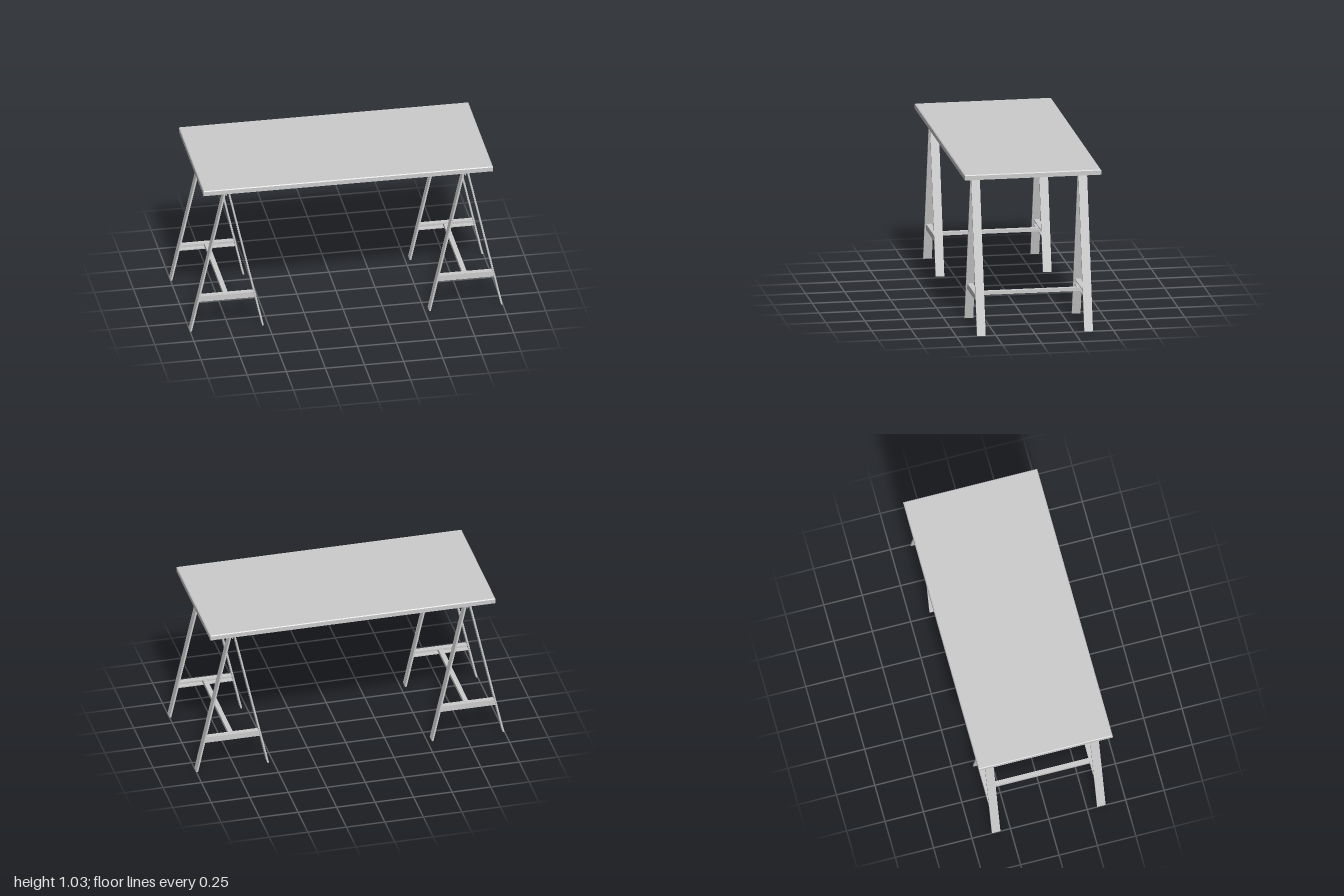
import * as THREE from 'three';

const material = new THREE.MeshStandardMaterial({ color: 0xcccccc, flatShading: true });

function addMesh(parent, name, geometry) {
  const mesh = new THREE.Mesh(geometry, material);
  mesh.name = name;
  parent.add(mesh);
  return mesh;
}

// Extrudes an outline in the xy plane from z0 to z1
function prism(points, z0, z1) {
  const shape = new THREE.Shape(points.map(([x, y]) => new THREE.Vector2(x, y)));
  return new THREE.ExtrudeGeometry(shape, { depth: z1 - z0, bevelEnabled: false }).translate(0, 0, z0);
}

function box(w, h, d, x, y, z) {
  return new THREE.BoxGeometry(w, h, d).translate(x, y, z);
}

const LEG_TOP = 0.98;
const FOOT_X = 0.236;
const APEX_X = 0.0155;
const LEG_THICK = 0.011;
const LEG_Z = [0.315, 0.37];

// Outer half-width of the A-frame at height y
const outerX = (y) => FOOT_X + (APEX_X - FOOT_X) * (y / LEG_TOP);
// Trapezoid spanning between the legs from y0 to y1
const span = (y0, y1) => {
  const a = outerX(y0) - LEG_THICK / 2, b = outerX(y1) - LEG_THICK / 2;
  return [[-a, y0], [a, y0], [b, y1], [-b, y1]];
};

function createTrestle() {
  const trestle = new THREE.Group();
  trestle.name = 'trestle';

  for (const end of [1, -1]) {
    const zRange = (a, b) => (end > 0 ? [a, b] : [-b, -a]);

    // Pair of flat splayed legs
    for (const side of [1, -1]) {
      const outline = [
        [side * (FOOT_X - LEG_THICK), 0], [side * FOOT_X, 0],
        [side * APEX_X, LEG_TOP], [side * (APEX_X - LEG_THICK), LEG_TOP],
      ];
      addMesh(trestle, 'leg', prism(outline, ...zRange(...LEG_Z)));
    }

    // Channel crossbar: outer web with two flanges, open inwards
    const crossbar = new THREE.Group();
    crossbar.name = 'crossbar';
    addMesh(crossbar, 'crossbarWeb', prism(span(0.202, 0.24), ...zRange(0.356, 0.362)));
    addMesh(crossbar, 'crossbarTopFlange', prism(span(0.234, 0.24), ...zRange(0.326, 0.356)));
    addMesh(crossbar, 'crossbarBottomFlange', prism(span(0.202, 0.208), ...zRange(0.326, 0.356)));
    trestle.add(crossbar);
  }

  // Long stretcher joining the two crossbars
  addMesh(trestle, 'stretcher', box(0.03, 0.022, 0.71, 0, 0.219, 0));

  // Top rail: flat cap over a narrow channel open at the bottom
  const rail = [
    [-0.014, 0.995], [-0.014, 0.98], [-0.01, 0.98], [-0.01, 0.96], [-0.006, 0.96], [-0.006, 0.984],
    [0.006, 0.984], [0.006, 0.96], [0.01, 0.96], [0.01, 0.98], [0.014, 0.98], [0.014, 0.995],
  ];
  addMesh(trestle, 'topRail', prism(rail, -0.397, 0.397));
  return trestle;
}

// Table top with a small chamfer around its upper edge
function createTop() {
  const top = new THREE.Group();
  top.name = 'tableTop';
  const w = 0.926, d = 0.436, c = 0.005;
  addMesh(top, 'topSlab', box(2 * w, 0.028, 2 * d, 0, 1.009, 0));
  const edge = box(2 * w, c, 2 * d, 0, 1.023 + c / 2, 0);
  const p = edge.attributes.position;
  for (let i = 0; i < p.count; i++) {
    if (p.getY(i) > 1.025) {
      p.setX(i, Math.sign(p.getX(i)) * (w - c));
      p.setZ(i, Math.sign(p.getZ(i)) * (d - c));
    }
  }
  edge.computeVertexNormals();
  addMesh(top, 'topChamfer', edge);
  return top;
}

export function createModel() {
  const model = new THREE.Group();
  model.name = 'trestleTable';
  model.add(createTop());
  for (const side of [1, -1]) {
    const trestle = createTrestle();
    trestle.name = side > 0 ? 'leftTrestle' : 'rightTrestle';
    trestle.position.x = side * 0.764;
    model.add(trestle);
  }
  return model;
}
